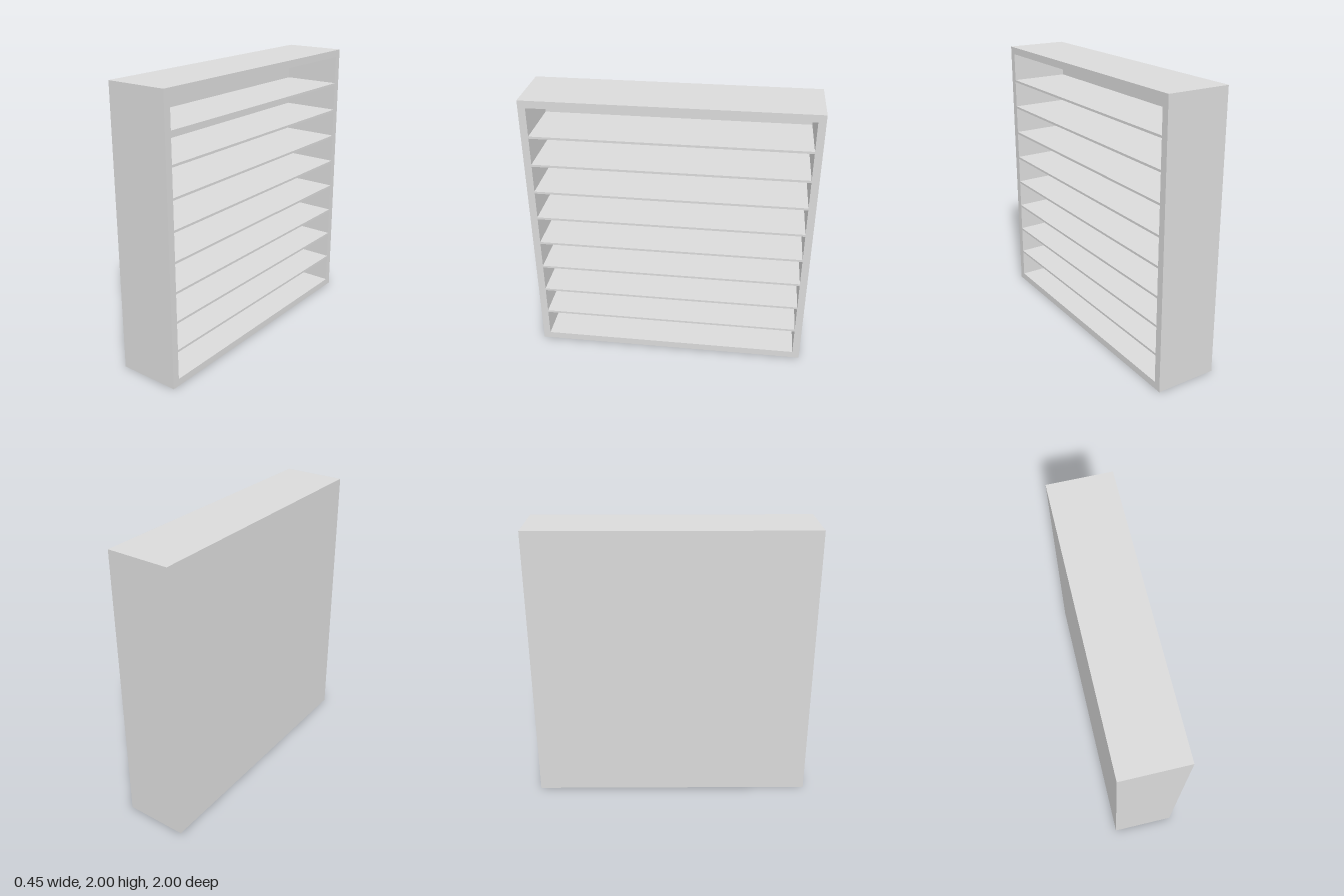
import * as THREE from 'three';

const SIZE = 2, DEPTH = 0.45, WALL = 0.052, SHELF = 0.016, BACK = 0.02, BAYS = 9;

// Rectangle outline, usable as a shape or as a hole
function rect(PathType, x0, y0, x1, y1) {
  return new PathType([
    new THREE.Vector2(x0, y0), new THREE.Vector2(x1, y0),
    new THREE.Vector2(x1, y1), new THREE.Vector2(x0, y1),
  ]);
}

export function createModel() {
  const group = new THREE.Group();
  group.name = 'shelfRack';
  const grey = new THREE.MeshStandardMaterial({ color: 0xdadada });
  grey.name = 'light grey';

  // Frame and flush shelves: one square outline with a hole per bay
  const half = SIZE / 2, inner = half - WALL;
  const outline = rect(THREE.Shape, -half, 0, half, SIZE);
  const pitch = (SIZE - 2 * WALL) / BAYS;
  for (let i = 0; i < BAYS; i++) {
    const bottom = WALL + i * pitch + (i > 0 ? SHELF / 2 : 0);
    const top = WALL + (i + 1) * pitch - (i < BAYS - 1 ? SHELF / 2 : 0);
    outline.holes.push(rect(THREE.Path, -inner, bottom, inner, top));
  }
  const frameGeo = new THREE.ExtrudeGeometry(outline, { depth: DEPTH - BACK, bevelEnabled: false });
  frameGeo.translate(0, 0, BACK - DEPTH / 2);
  frameGeo.rotateY(Math.PI / 2); // open side faces +x
  const frame = new THREE.Mesh(frameGeo, grey);
  frame.name = 'frameAndShelves';
  group.add(frame);

  // Thin back panel covering the whole rear of the frame
  const panel = new THREE.Mesh(new THREE.BoxGeometry(BACK, SIZE, SIZE), grey);
  panel.name = 'backPanel';
  panel.position.set((BACK - DEPTH) / 2, SIZE / 2, 0);
  group.add(panel);

  return group;
}
